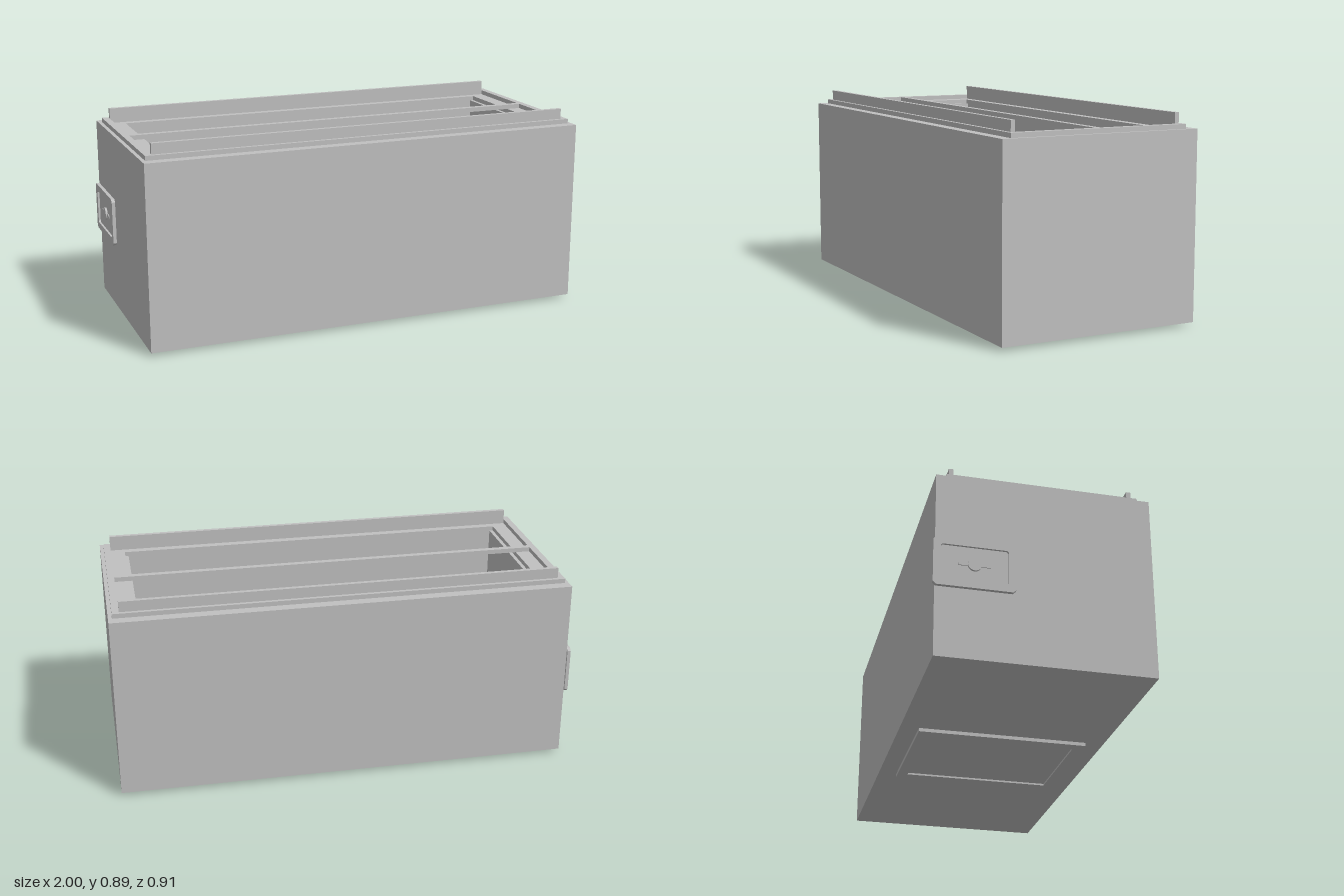
import * as THREE from 'three';

const CX = 0.0075, CZ = 0.0045; // centre of the body in plan

// rectangle outline with corners cut by c
function rectPath(path, w, h, c = 0) {
  const a = w / 2, b = h / 2;
  const pts = c > 0
    ? [[-a + c, -b], [a - c, -b], [a, -b + c], [a, b - c], [a - c, b], [-a + c, b], [-a, b - c], [-a, -b + c]]
    : [[-a, -b], [a, -b], [a, b], [-a, b]];
  path.setFromPoints(pts.map(([x, y]) => new THREE.Vector2(x, y)));
  path.closePath();
  return path;
}

// rectangular ring, extruded along +z
function ringGeometry(w, h, iw, ih, depth, c = 0) {
  const shape = rectPath(new THREE.Shape(), w, h, c);
  shape.holes.push(rectPath(new THREE.Path(), iw, ih, c * 0.6));
  return new THREE.ExtrudeGeometry(shape, { depth, bevelEnabled: false });
}

export function createModel() {
  const model = new THREE.Group();
  model.name = 'openContainer';
  const grey = new THREE.MeshStandardMaterial({ color: 0xc0c0c0 });
  grey.name = 'plain grey';

  const add = (name, geometry, parent = model) => {
    const mesh = new THREE.Mesh(geometry, grey);
    mesh.name = name;
    parent.add(mesh);
    return mesh;
  };
  // horizontal ring between two heights
  const ring = (name, w, d, iw, id, y0, y1) =>
    add(name, ringGeometry(w, d, iw, id, y1 - y0).rotateX(-Math.PI / 2).translate(CX, y0, CZ));
  // box between two heights, offset from the body centre
  const box = (name, w, d, y0, y1, x = 0, z = 0) =>
    add(name, new THREE.BoxGeometry(w, y1 - y0, d).translate(CX + x, (y0 + y1) / 2, CZ + z));

  // hollow body with thick walls, and its floor
  ring('body', 1.985, 0.897, 1.765, 0.67, 0.015, 0.82);
  box('floor', 1.765, 0.67, 0.015, 0.08);

  // raised rim around the ledge, with a divider bar across it
  ring('rim', 1.952, 0.807, 1.893, 0.776, 0.82, 0.84);
  box('dividerBar', 1.893, 0.026, 0.82, 0.84);

  for (const s of [-1, 1]) {
    box('longRail', 1.893, 0.019, 0.82, 0.886, 0, s * 0.3785);
    box('endLiner', 0.016, 0.67, 0.08, 0.8, s * 0.8745, 0);
  }

  // hatch frame under the body, with a recessed cover
  ring('hatchFrame', 0.572, 0.736, 0.472, 0.646, 0, 0.015);
  box('hatchCover', 0.472, 0.646, 0.008, 0.015);

  // latch plate on the right end, by the back corner
  const latch = new THREE.Group();
  latch.name = 'latch';
  latch.position.set(-0.985, 0.42, -0.2865);
  latch.rotation.y = -Math.PI / 2;
  model.add(latch);
  add('latchFrame', ringGeometry(0.333, 0.212, 0.273, 0.152, 0.015, 0.012), latch);
  add('latchPanel', new THREE.BoxGeometry(0.275, 0.154, 0.006).translate(0, 0, 0.003), latch);
  add('latchKnob', new THREE.CylinderGeometry(0.028, 0.028, 0.009, 16).rotateX(Math.PI / 2).translate(0, 0, 0.0105), latch);
  add('latchBar', new THREE.BoxGeometry(0.13, 0.014, 0.004).translate(0, 0, 0.008), latch);

  return model;
}
